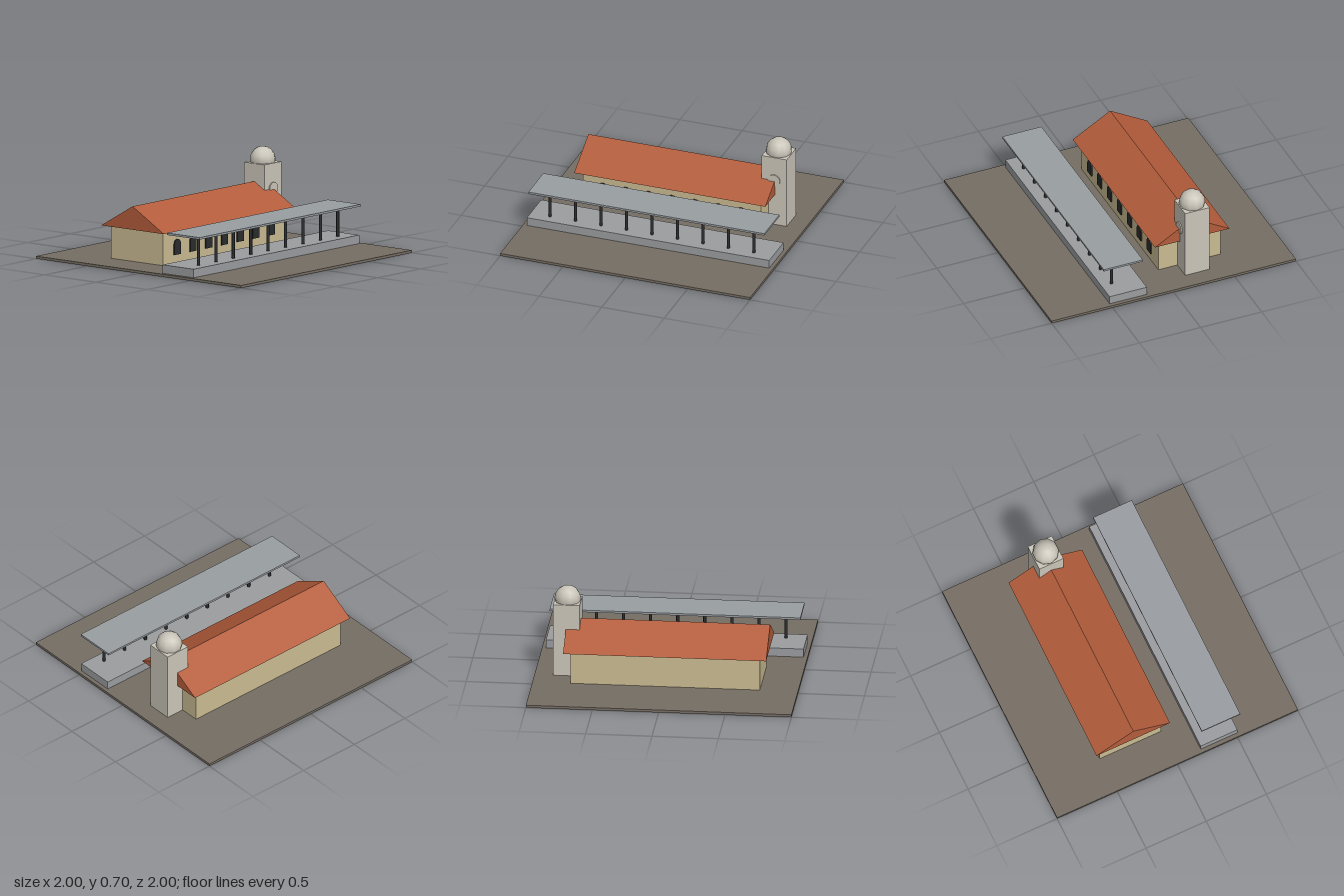
import * as THREE from 'three';

const paint = (name, color) => {
  const m = new THREE.MeshStandardMaterial({ color });
  m.name = name;
  return m;
};

export function createModel() {
  const group = new THREE.Group();
  const mats = {
    ground: paint('earth brown', 0x756d63),
    concrete: paint('concrete grey', 0x9a9c9f),
    canopy: paint('canopy grey', 0x989da1),
    wall: paint('sand wall', 0xc9ba91),
    roof: paint('terracotta', 0xb35c3b),
    stone: paint('pale stone', 0xcac5b9),
    dark: paint('dark metal', 0x2b2c2e),
  };

  const add = (name, geometry, material, x = 0, y = 0, z = 0) => {
    const mesh = new THREE.Mesh(geometry, material);
    mesh.name = name;
    mesh.position.set(x, y, z);
    group.add(mesh);
    return mesh;
  };
  // Box given by its extents on each axis
  const box = (name, material, [x0, x1], [y0, y1], [z0, z1]) =>
    add(name, new THREE.BoxGeometry(x1 - x0, y1 - y0, z1 - z0), material,
      (x0 + x1) / 2, (y0 + y1) / 2, (z0 + z1) / 2);

  box('ground', mats.ground, [-1, 1], [0, 0.02], [-1, 1]);

  // Platform with its canopy on a single row of posts
  box('platform', mats.concrete, [-0.97, 0.97], [0.02, 0.085], [0.207, 0.512]);
  box('canopy', mats.canopy, [-0.944, 0.944], [0.31, 0.326], [0.228, 0.548]);
  const postGeometry = new THREE.CylinderGeometry(0.012, 0.012, 0.226, 8);
  for (let i = -4; i <= 4; i++) {
    add('canopyPost', postGeometry, mats.dark, i * 0.204, 0.198, 0.43);
  }

  // Main hall
  box('hallWalls', mats.wall, [-0.713, 0.713], [0.02, 0.272], [-0.51, 0]);

  // Gable roof: triangle in (z, y) swept along x
  const gable = new THREE.Shape();
  gable.moveTo(-0.305, 0);
  gable.lineTo(0.305, 0);
  gable.lineTo(0, 0.178);
  gable.closePath();
  const roofGeometry = new THREE.ExtrudeGeometry(gable, { depth: 1.53, bevelEnabled: false });
  roofGeometry.translate(0, 0, -0.765).rotateY(Math.PI / 2);
  add('roof', roofGeometry, mats.roof, 0, 0.272, -0.255);

  // Arched openings along the front wall
  const arch = new THREE.Shape();
  arch.moveTo(-0.037, 0);
  arch.lineTo(0.037, 0);
  arch.lineTo(0.037, 0.08);
  arch.absarc(0, 0.08, 0.037, 0, Math.PI, false);
  arch.closePath();
  const archGeometry = new THREE.ExtrudeGeometry(arch, { depth: 0.009, bevelEnabled: false, curveSegments: 8 });
  for (let i = -3; i <= 3; i++) {
    add('archedOpening', archGeometry, mats.dark, i * 0.184, 0.085, 0);
  }

  // Tower with dome and a round plate on its front
  box('tower', mats.stone, [0.66, 0.86], [0.02, 0.585], [-0.355, -0.155]);
  add('towerDome', new THREE.SphereGeometry(0.1, 10, 8), mats.stone, 0.76, 0.605, -0.255);
  const disc = new THREE.CylinderGeometry(0.048, 0.048, 0.009, 20).rotateX(Math.PI / 2);
  add('towerDisc', disc, mats.stone, 0.76, 0.393, -0.1505);

  return group;
}
